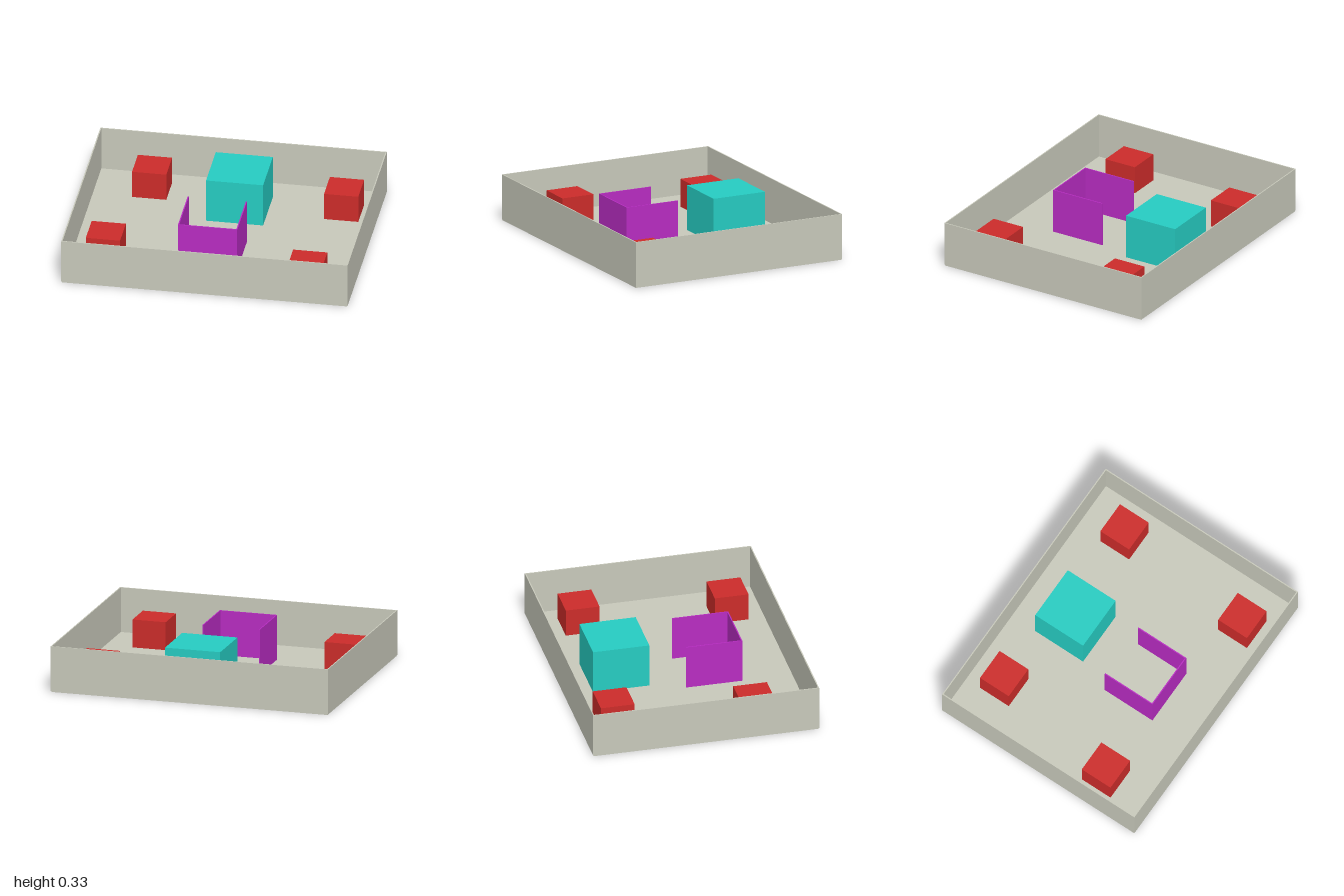
import * as THREE from 'three';

const U = 2 / 25.1; // one metre of the hall in model units
const T = 0.1;      // thickness of floor and panels, in metres

const material = (color) => new THREE.MeshStandardMaterial({ color });

export function createModel() {
  const model = new THREE.Group();
  model.name = 'exhibitionHall';

  const shell = material(0xc8c9bb);
  const red = material(0xcc2c2a);
  const teal = material(0x26ccc2);
  const purple = material(0xb82cc2);

  // Box standing on height y, centred on x and z, all in metres
  function block(parent, name, mat, w, h, d, x, z, y = T) {
    const mesh = new THREE.Mesh(new THREE.BoxGeometry(w * U, h * U, d * U), mat);
    mesh.position.set(x * U, (y + h / 2) * U, z * U);
    mesh.name = name;
    parent.add(mesh);
  }

  // Floor and the four outer walls
  block(model, 'floor', shell, 25, T, 20, 0, 0, 0);
  for (const s of [-1, 1]) {
    block(model, s > 0 ? 'frontWall' : 'backWall', shell, 25.1, 4, T, 0, s * 10);
    block(model, s > 0 ? 'leftWall' : 'rightWall', shell, T, 4, 19.9, s * 12.5, 0);
  }

  // Four small booths
  [[-7.5, -7], [9.5, -6], [-9.5, 5], [8.5, 7]].forEach(([x, z], i) =>
    block(model, `booth${i + 1}`, red, 3, 2.5, 3, x, z));

  // Large central block
  block(model, 'centralBlock', teal, 5, 4, 5, 0.5, -5);

  // Three-sided enclosure, open to the back
  const enclosure = new THREE.Group();
  enclosure.name = 'enclosure';
  block(enclosure, 'enclosureFront', purple, 5, 4, T, -0.5, 5.45);
  for (const s of [-1, 1]) {
    block(enclosure, s > 0 ? 'enclosureLeft' : 'enclosureRight', purple, T, 4, 5, -0.5 + s * 2.55, 3);
  }
  model.add(enclosure);

  return model;
}
